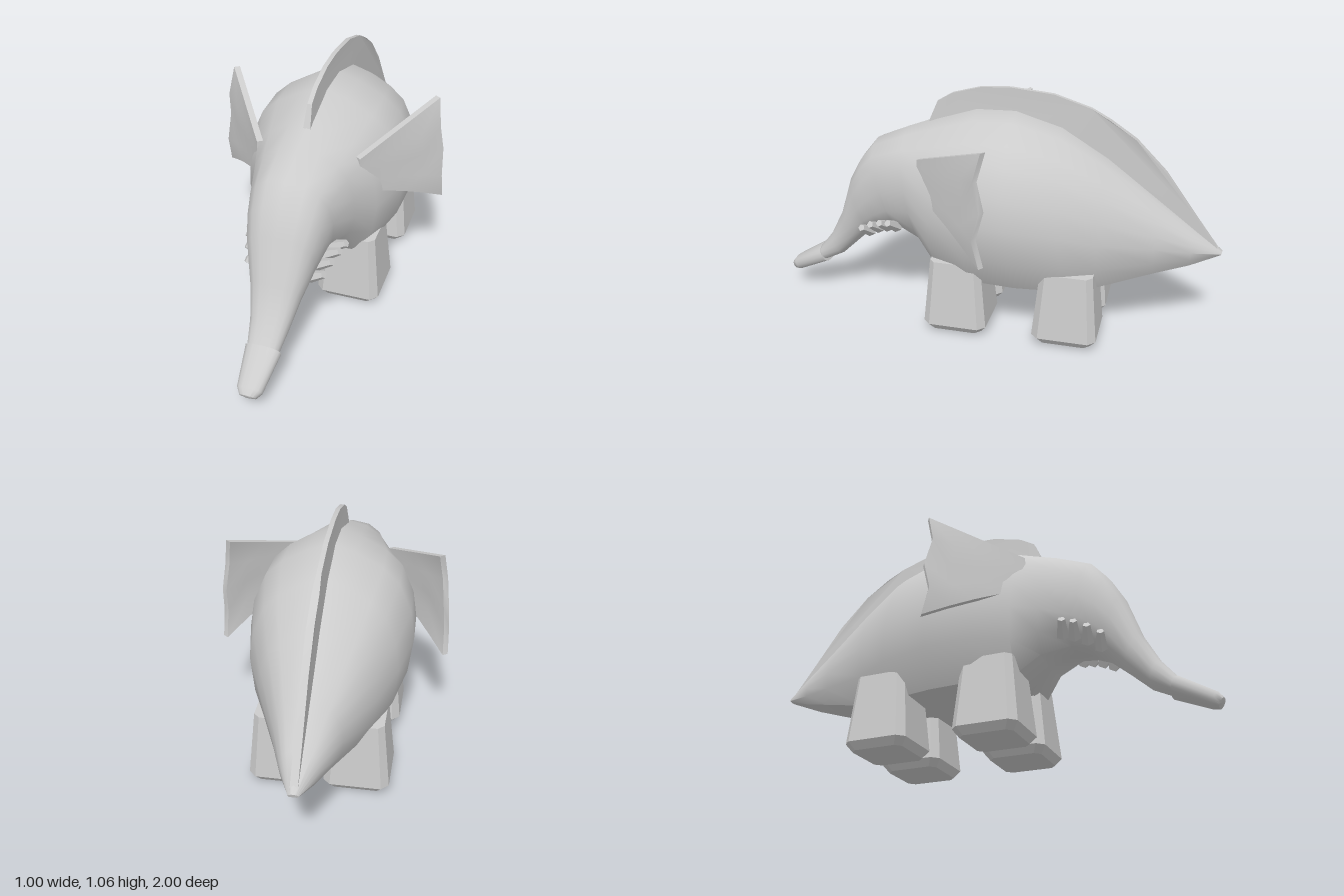
import * as THREE from 'three';
import { toCreasedNormals } from 'three/addons/utils/BufferGeometryUtils.js';

const material = new THREE.MeshStandardMaterial({ color: 0xcccccc });
const flatMaterial = new THREE.MeshStandardMaterial({ color: 0xcccccc, flatShading: true });

// Half cross-sections as [fraction of half width, fraction of height down from the top]
const bellyProfile = [[0, 0], [0.28, 0.045], [0.6, 0.13], [0.8, 0.22], [0.95, 0.39], [1, 0.56], [0.94, 0.78], [0.68, 0.99], [0, 1]];
const trunkProfile = bellyProfile.map((_, i) => {
  const a = (i / 8) * Math.PI;
  return [Math.pow(Math.sin(a), 0.8), 0.5 - 0.5 * Math.sign(Math.cos(a)) * Math.pow(Math.abs(Math.cos(a)), 0.8)];
});

// Skin a list of stations: [top z, top y, bottom z, bottom y, half width, blend to trunk profile]
function loft(stations) {
  const pos = [], index = [], n = 16;
  for (const [tz, ty, bz, by, w, k] of stations) {
    for (let j = 0; j < n; j++) {
      const p = j <= 8 ? j : n - j;
      const fx = THREE.MathUtils.lerp(bellyProfile[p][0], trunkProfile[p][0], k);
      const t = THREE.MathUtils.lerp(bellyProfile[p][1], trunkProfile[p][1], k);
      pos.push((j <= 8 ? 1 : -1) * w * fx, ty + (by - ty) * t, tz + (bz - tz) * t);
    }
  }
  const last = stations.length - 1;
  for (let i = 0; i < last; i++) {
    for (let j = 0; j < n; j++) {
      const a = i * n + j, b = i * n + (j + 1) % n;
      index.push(a, a + n, b, b, a + n, b + n);
    }
  }
  // End caps
  for (const i of [0, last]) {
    const [tz, ty, bz, by] = stations[i], c = pos.length / 3;
    pos.push(0, (ty + by) / 2, (tz + bz) / 2);
    for (let j = 0; j < n; j++) {
      const a = i * n + j, b = i * n + (j + 1) % n;
      index.push(c, ...(i ? [b, a] : [a, b]));
    }
  }
  const geo = new THREE.BufferGeometry();
  geo.setAttribute('position', new THREE.Float32BufferAttribute(pos, 3));
  geo.setIndex(index);
  return toCreasedNormals(geo, 0.85);
}

// Move every vertex of a geometry by a rule
function reshape(geo, rule) {
  const p = geo.attributes.position;
  for (let i = 0; i < p.count; i++) p.setXYZ(i, ...rule(p.getX(i), p.getY(i), p.getZ(i)));
  geo.computeVertexNormals();
  return geo;
}

// Thin ear sweeping out and back, flaring towards a wavy rear edge
function earGeometry() {
  const geo = reshape(new THREE.BoxGeometry(1, 1, 1, 4, 4, 1), (x, y, s) => {
    const u = x + 0.5, v = y + 0.5;
    const top = 0.785 + 0.145 * u, bottom = 0.625 - 0.17 * Math.pow(u, 1.3);
    const wave = Math.round(v * 4) % 2 ? 0.03 * u ** 3 : 0;
    const thick = 0.026 * s;
    const outer = 0.49 - 0.04 * v * v;
    return [
      THREE.MathUtils.lerp(0.21, outer, u) + 0.81 * thick,
      THREE.MathUtils.lerp(bottom, top, v),
      THREE.MathUtils.lerp(0.27, -0.07, u) + wave + 0.58 * thick,
    ];
  });
  return toCreasedNormals(geo, 0.6);
}

// Square leg with chamfered corners, widening to a blunt foot
function legGeometry() {
  const points = [[0, 0], [0.115, 0.012], [0.14, 0.045], [0.112, 0.34], [0, 0.34]].map(p => new THREE.Vector2(...p));
  const geo = new THREE.LatheGeometry(points, 8, Math.PI / 8);
  return reshape(geo, (x, y, z) => {
    const r = Math.hypot(x, z);
    const side = c => Math.sign(c) * r * (Math.abs(c) > 0.7 * r ? 1 : 0.78);
    return [side(x), y, side(z)];
  });
}

export function createModel() {
  const model = new THREE.Group();
  const add = (parent, name, geo, mat = material) => {
    const mesh = new THREE.Mesh(geo, mat);
    mesh.name = name;
    parent.add(mesh);
    return mesh;
  };

  // Body from pointed tail to trunk
  add(model, 'body', loft([
    [-1, 0.412, -0.995, 0.395, 0.02, 0],
    [-0.87, 0.51, -0.87, 0.35, 0.08, 0],
    [-0.72, 0.625, -0.72, 0.31, 0.14, 0],
    [-0.5, 0.79, -0.49, 0.245, 0.24, 0],
    [-0.3, 0.91, -0.37, 0.232, 0.31, 0],
    [-0.1, 0.967, -0.15, 0.237, 0.355, 0],
    [0.07, 0.963, 0.05, 0.243, 0.35, 0],
    [0.25, 0.905, 0.21, 0.265, 0.285, 0.1],
    [0.38, 0.855, 0.3, 0.36, 0.225, 0.5],
    [0.53, 0.79, 0.42, 0.395, 0.175, 0.9],
    [0.595, 0.71, 0.49, 0.385, 0.16, 1],
    [0.65, 0.61, 0.55, 0.36, 0.14, 1],
    [0.71, 0.43, 0.63, 0.29, 0.105, 1],
    [0.775, 0.305, 0.72, 0.205, 0.08, 1],
    [0.84, 0.222, 0.81, 0.16, 0.066, 1],
  ]));

  // Sleeve-like end of the trunk
  add(model, 'trunkTip', loft([
    [0.838, 0.228, 0.8, 0.152, 0.074, 1],
    [0.982, 0.141, 0.95, 0.085, 0.052, 1],
    [1, 0.118, 0.975, 0.08, 0.034, 1],
    [0.998, 0.108, 0.986, 0.09, 0.012, 1],
  ]));

  // Crest along the spine, drawn as (-z, y) and turned into the middle plane
  const crest = new THREE.Shape([
    [0.285, 0.89], [0.246, 0.98], [0.18, 1.02], [0.053, 1.055], [-0.075, 1.062], [-0.26, 1.045],
    [-0.42, 0.995], [-0.5, 0.95], [-0.61, 0.877], [-0.743, 0.743], [-0.877, 0.56], [-0.99, 0.41],
    [-0.72, 0.58], [-0.5, 0.74], [-0.3, 0.86], [-0.1, 0.92], [0.07, 0.92], [0.25, 0.87],
  ].map(([z, y]) => new THREE.Vector2(-z, y)));
  const crestGeo = new THREE.ExtrudeGeometry(crest, { depth: 0.03, bevelEnabled: false });
  crestGeo.translate(0, 0, -0.015).rotateY(Math.PI / 2);
  reshape(crestGeo, (x, y, z) => [y > 0.97 ? x * 0.65 : x, y, z]);
  add(model, 'crest', toCreasedNormals(crestGeo, 0.6));

  // Paired parts
  const ear = earGeometry(), leg = legGeometry();
  const nub = new THREE.CylinderGeometry(0.016, 0.027, 0.085, 5);
  for (const side of [1, -1]) {
    const half = new THREE.Group();
    half.name = side > 0 ? 'leftSide' : 'rightSide';
    half.scale.x = side;
    model.add(half);

    add(half, 'ear', ear);
    add(half, 'frontLeg', leg, flatMaterial).position.set(0.16, 0, 0.11);
    add(half, 'backLeg', leg, flatMaterial).position.set(0.16, 0, -0.375);

    // Row of small nubs along the cheek
    [[0.13, 0.39, 0.56], [0.148, 0.42, 0.51], [0.165, 0.44, 0.46], [0.178, 0.45, 0.415]].forEach((p, i) => {
      const mesh = add(half, 'cheekNub' + (i + 1), nub, flatMaterial);
      mesh.position.set(...p);
      mesh.quaternion.setFromUnitVectors(new THREE.Vector3(0, 1, 0), new THREE.Vector3(0.8, 0.5, 0.2).normalize());
    });
  }
  return model;
}
